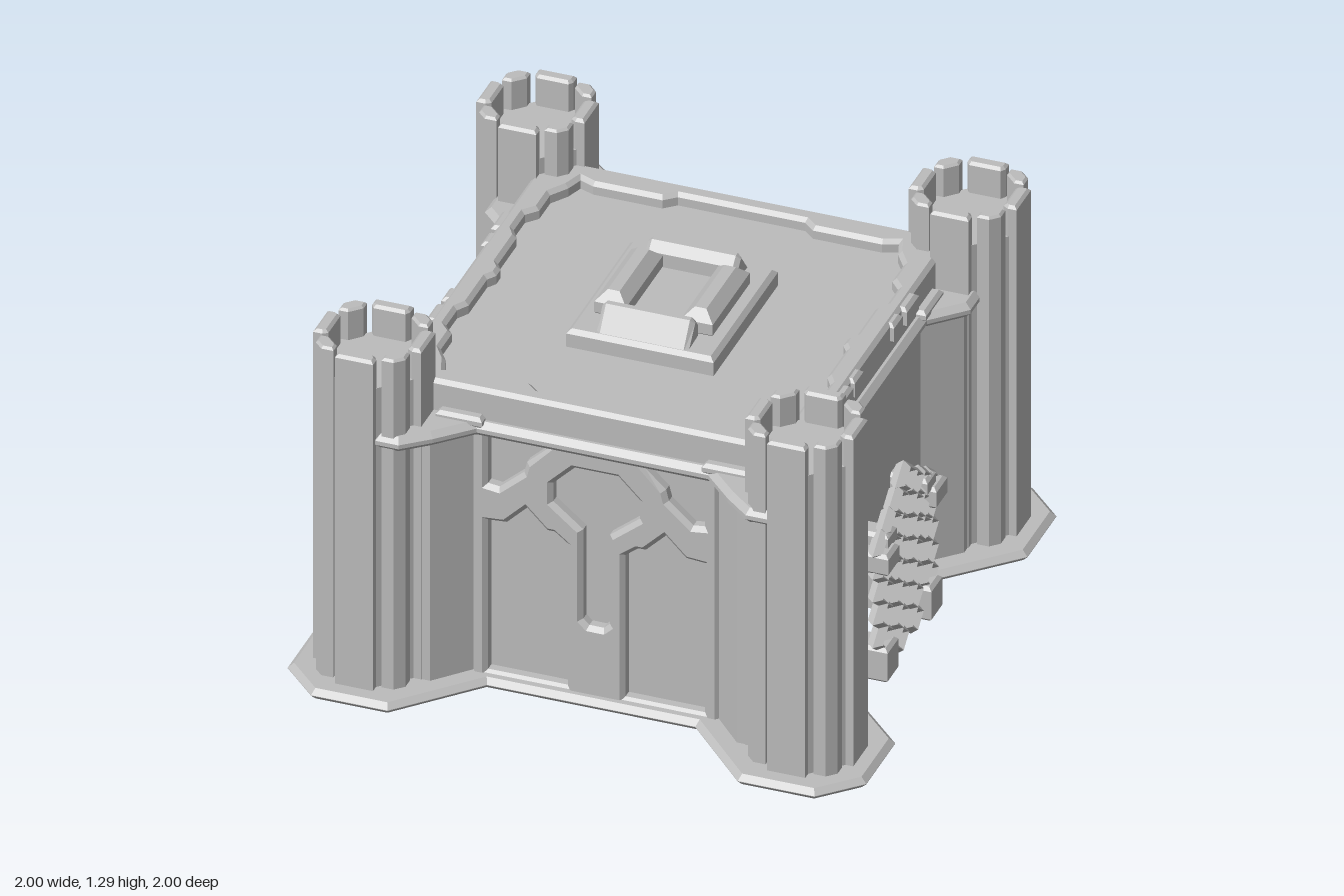
import * as THREE from 'three';

const stone = new THREE.MeshStandardMaterial({ color: 0xbcbcbc, flatShading: true });
stone.name = 'grey stone';

// Mirrors a quarter outline (x, z both positive, running from the +x axis to the +z axis)
const halfOutline = (q) => [...q, ...q.map(([x, z]) => [-x, z]).reverse()];
const fullOutline = (q) => {
  const half = halfOutline(q);
  return [...half, ...half.map(([x, z]) => [x, -z]).reverse()];
};

// Corner list, always counter-clockwise so that faces point outwards
function toVectors(points, flip) {
  const list = points.map(([a, b]) => new THREE.Vector2(a, b * flip));
  return THREE.ShapeUtils.isClockWise(list) ? list.reverse() : list;
}

function extrude(points, depth, bevel, holes = [], flip = 1) {
  const shape = new THREE.Shape(toVectors(points, flip));
  shape.holes = holes.map((h) => new THREE.Path(toVectors(h, flip).reverse()));
  return new THREE.ExtrudeGeometry(shape, {
    depth: depth - 2 * bevel, bevelEnabled: bevel > 0, bevelThickness: bevel,
    bevelSize: bevel, bevelOffset: -bevel, bevelSegments: 1,
  }).translate(0, 0, bevel);
}

// A bevelled slab with a ground plan of [x, z] points
const slab = (points, y0, y1, bevel = 0, holes = []) =>
  extrude(points, y1 - y0, bevel, holes, -1).rotateX(-Math.PI / 2).translate(0, y0, 0);

const block = (x0, x1, y0, y1, z0, z1, bevel = 0.012) =>
  slab([[x0, z0], [x1, z0], [x1, z1], [x0, z1]], y0, y1, bevel);

function add(parent, name, geometry) {
  const mesh = new THREE.Mesh(geometry, stone);
  mesh.name = name;
  parent.add(mesh);
  return mesh;
}

// Ribbed tower: flat ribs on four sides, square ribs on the corners, each topped by a merlon
function makeTower() {
  const tower = new THREE.Group();
  tower.name = 'tower';
  const r = 0.16 / Math.cos(Math.PI / 8);
  const core = new THREE.CylinderGeometry(r, r, 1.16, 8).rotateY(Math.PI / 8).translate(0, 0.6, 0);
  add(tower, 'towerCore', core);
  const sideRib = slab([[-0.055, 0.138], [0.055, 0.138], [0.066, 0.155], [0.066, 0.187], [-0.066, 0.187],
    [-0.066, 0.155]], 0.02, 1.295, 0.01);
  const cornerRib = slab([[0.122, 0.083], [0.155, 0.083], [0.155, 0.125], [0.125, 0.155], [0.083, 0.155],
    [0.083, 0.122]], 0.02, 1.295, 0.008);
  for (let i = 0; i < 4; i++) {
    add(tower, 'sideRib', sideRib).rotation.y = (i * Math.PI) / 2;
    add(tower, 'cornerRib', cornerRib).rotation.y = (i * Math.PI) / 2;
  }
  return tower;
}

// Raised tracery with a keyhole, two lancets and two spandrels cut out
function makeTracery() {
  const side = (s, points) => points.map(([x, y]) => [x * s, y]);
  const lancet = [[0.1, 0.05], [0.1, 0.59], [0.145, 0.625], [0.17, 0.625], [0.24, 0.695], [0.31, 0.625],
    [0.375, 0.62], [0.375, 0.05]];
  const spandrel = [[0.375, 0.94], [0.375, 0.76], [0.335, 0.755], [0.25, 0.83], [0.24, 0.87], [0.165, 0.94]];
  const stem = [[0.025, 0.295], [0.046, 0.315], [0.046, 0.655], [0.15, 0.74], [0.15, 0.81], [0.075, 0.885]];
  const holes = [[...stem, ...side(-1, stem).reverse()]];
  for (const s of [1, -1]) holes.push(side(s, lancet), side(s, spandrel));
  return extrude([[-0.43, 0.005], [0.43, 0.005], [0.43, 0.985], [-0.43, 0.985]], 0.07, 0.016, holes)
    .translate(0, 0, 0.635);
}

// Lattice gate standing in front of the +x wall
function makeGate() {
  const gate = new THREE.Group();
  gate.name = 'gate';
  const ring = new THREE.TorusGeometry(0.052, 0.026, 4, 4).scale(1, 0.8, 1).rotateY(Math.PI / 2);
  const link = (y, z) => add(gate, 'latticeLink', ring).position.set(0.8, y, z);
  for (const s of [1, -1]) {
    for (let i = 0; i < 7; i++) link(0.063 + i * 0.087, s * 0.066);
    for (let i = 0; i < 5; i++) link(0.15 + i * 0.087, s * 0.205);
    for (let i = 0; i < 3; i++) link(0.37 + i * 0.087, s * 0.135);
  }
  link(0.64, 0);
  for (const s of [1, -1]) {
    // Brackets and feet that tie the lattice to the wall
    const part = (name, x1, y0, y1, za, zb) =>
      add(gate, name, block(0.68, x1, y0, y1, Math.min(s * za, s * zb), Math.max(s * za, s * zb)));
    part('gateBracket', 0.85, 0.42, 0.5, 0.17, 0.27);
    part('gateBracketTop', 0.83, 0.48, 0.545, 0.14, 0.22);
    part('gateFoot', 0.84, 0, 0.13, 0.15, 0.25);
    part('gateFootStep', 0.77, 0, 0.06, 0.15, 0.36);
  }
  return gate;
}

// Raised hatch in the middle of the roof
function makeHatch() {
  const hatch = new THREE.Group();
  hatch.name = 'roofHatch';
  add(hatch, 'hatchBase', block(-0.255, 0.255, 1.06, 1.14, -0.295, 0.295, 0.015));
  for (const s of [1, -1]) {
    const x = s * 0.15;
    add(hatch, 'hatchSideRail', block(x - 0.055, x + 0.055, 1.11, 1.22, -0.17, 0.17, 0.035));
  }
  // Sloping end rails
  const wedge = extrude([[-0.17, 1.13], [-0.17, 1.19], [-0.2, 1.22], [-0.22, 1.22], [-0.285, 1.13]], 0.32, 0.015)
    .translate(0, 0, -0.16).rotateY(Math.PI / 2);
  for (const turn of [0, Math.PI]) add(hatch, 'hatchEndRail', wedge).rotation.y = turn;
  return hatch;
}

export function createModel() {
  const castle = new THREE.Group();
  castle.name = 'castle';

  // Footing and lower walls, in two halves that leave the gateways open
  const footPlan = [[0.73, 0.15], [0.73, 0.335], [1, 0.605], [1, 0.87], [0.87, 1], [0.605, 1], [0.36, 0.74]];
  const wallPlan = [[0.7, 0.42], [0.81, 0.53], [0.81, 0.65], [0.65, 0.81], [0.53, 0.81], [0.42, 0.69], [0.42, 0.66]];
  const inner = halfOutline([[0.61, 0.15], [0.61, 0.61]]).reverse();
  const foot = slab([...halfOutline(footPlan), ...inner], 0, 0.04, 0.019);
  const lower = slab([...halfOutline([[0.7, 0.15], ...wallPlan]), ...inner], 0.01, 0.36);
  for (const turn of [0, Math.PI]) {
    add(castle, 'footing', foot).rotation.y = turn;
    add(castle, 'lowerWall', lower).rotation.y = turn;
  }

  // Upper walls above the gateways
  add(castle, 'upperWall', slab(fullOutline(wallPlan), 0.36, 0.97, 0, [fullOutline([[0.61, 0.61]])]));

  // Cornice, roof deck and parapet
  const cornicePlan = [[0.73, 0.4], [0.84, 0.51], [0.84, 0.6], [0.68, 0.915], [0.6, 0.915], [0.51, 0.84], [0.4, 0.73]];
  add(castle, 'cornice', slab(fullOutline(cornicePlan), 0.95, 1.005, 0.02));
  add(castle, 'roofDeck', block(-0.68, 0.68, 0.98, 1.075, -0.68, 0.68, 0));
  const parapetHole = [[0.6, 0.02], [0.62, 0.05], [0.62, 0.22], [0.645, 0.26], [0.645, 0.36], [0.61, 0.4],
    [0.61, 0.5], [0.57, 0.56], [0.55, 0.62], [0.5, 0.6], [0.26, 0.6], [0.22, 0.635]];
  add(castle, 'parapet', slab(fullOutline([[0.7, 0.7]]), 0.99, 1.12, 0.014, [fullOutline(parapetHole)]));

  // Small blocks along the cornice and the side parapets
  for (const sx of [1, -1]) {
    for (const sz of [1, -1]) {
      const nub = (name, x, y, z, w, h, d) =>
        add(castle, name, block(-w / 2, w / 2, 0, h, -d / 2, d / 2)).position.set(sx * x, y, sz * z);
      nub('corniceBlock', 0.46, 0.985, 0.71, 0.16, 0.04, 0.05);
      nub('corniceBlock', 0.71, 0.985, 0.46, 0.05, 0.04, 0.16);
      nub('parapetBlock', 0.69, 1.04, 0.3, 0.06, 0.075, 0.11);
      nub('parapetBlock', 0.69, 1.04, 0.18, 0.05, 0.075, 0.08);
      const tower = makeTower();
      tower.position.set(sx * 0.747, 0, sz * 0.747);
      castle.add(tower);
    }
  }

  // Matching decorated fronts and lattice gates on opposite sides
  const tracery = makeTracery();
  for (const turn of [0, Math.PI]) {
    add(castle, 'tracery', tracery).rotation.y = turn;
    const gate = makeGate();
    gate.rotation.y = turn;
    castle.add(gate);
  }
  castle.add(makeHatch());
  return castle;
}
